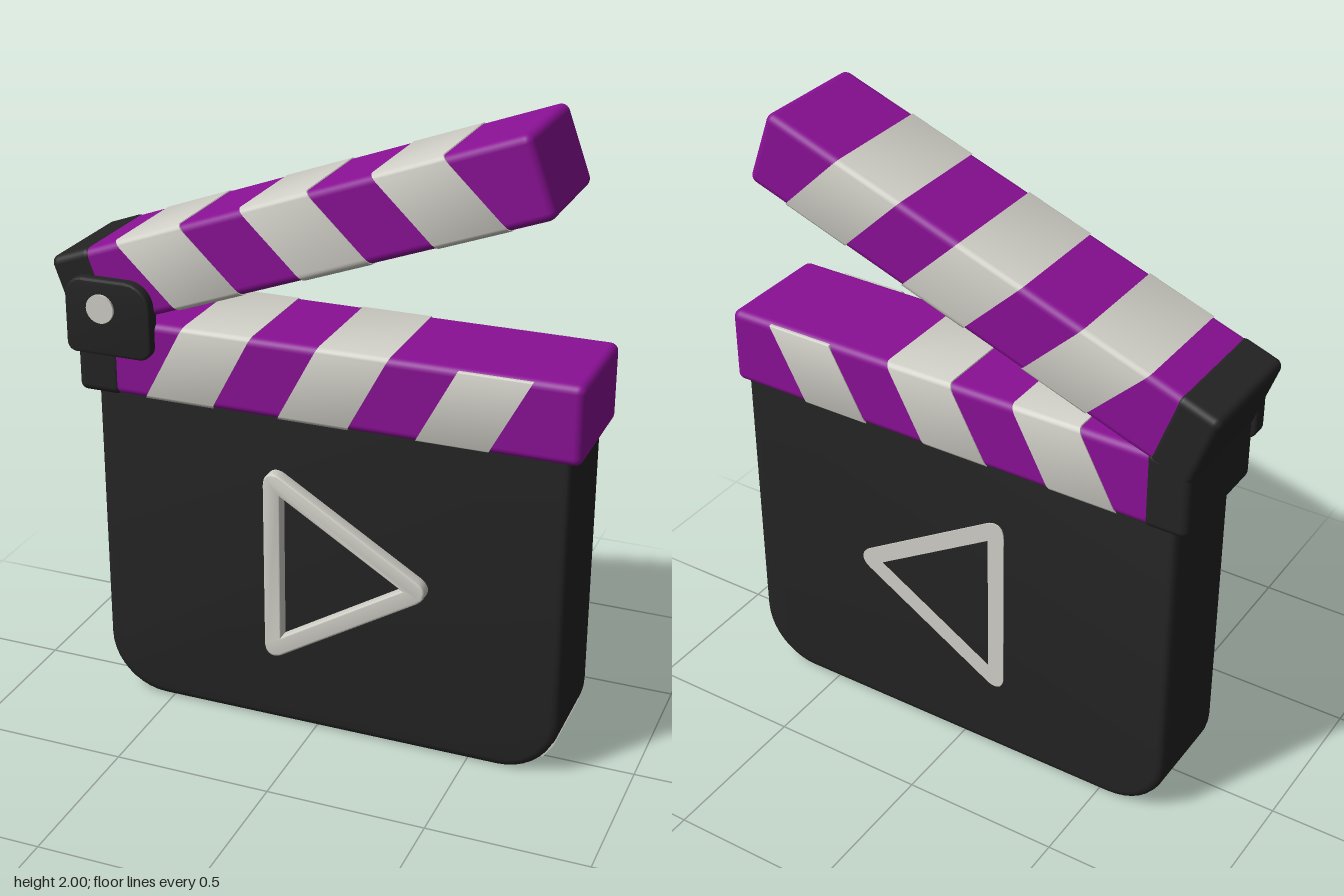
import * as THREE from 'three';
import { toCreasedNormals } from 'three/addons/utils/BufferGeometryUtils.js';
import { RoundedBoxGeometry } from 'three/addons/geometries/RoundedBoxGeometry.js';

const mat = (name, color) => {
  const m = new THREE.MeshStandardMaterial({ color });
  m.name = name;
  return m;
};

// Polygon whose corners are cut by the given radii and curved
function roundedPoly(points, radii) {
  const s = new THREE.Shape();
  const n = points.length;
  points.forEach(([x, y], i) => {
    const p = new THREE.Vector2(x, y);
    const r = radii[i];
    const toward = (q) => p.clone().add(new THREE.Vector2(...q).sub(p).setLength(r));
    const a = toward(points[(i + n - 1) % n]);
    const b = toward(points[(i + 1) % n]);
    if (i === 0) s.moveTo(a.x, a.y);
    else s.lineTo(a.x, a.y);
    if (r > 0) {
      // cubic approximation of a round corner
      const c1 = a.clone().lerp(p, 0.55), c2 = b.clone().lerp(p, 0.55);
      s.bezierCurveTo(c1.x, c1.y, c2.x, c2.y, b.x, b.y);
    }
  });
  s.closePath();
  return s;
}

// Extrusion between two z planes with an inset bevel
function slab(shape, z0, z1, bevel = 0) {
  const g = new THREE.ExtrudeGeometry(shape, {
    depth: z1 - z0 - 2 * bevel, curveSegments: 10,
    bevelEnabled: bevel > 0, bevelSize: bevel, bevelThickness: bevel,
    bevelOffset: -bevel, bevelSegments: 3,
  });
  g.translate(0, 0, z0 + bevel);
  return toCreasedNormals(g, 0.6);
}

// Rounded rectangular band along x, sheared so that it slants with y
function band(center, width, h, d, shear, r) {
  const a = d / 2, b = h / 2;
  const s = roundedPoly([[-a, -b], [a, -b], [a, b], [-a, b]], [r, r, r, r]);
  const g = new THREE.ExtrudeGeometry(s, { depth: width, bevelEnabled: false, curveSegments: 5 });
  g.translate(0, 0, -width / 2);
  g.rotateY(Math.PI / 2);
  const p = g.attributes.position;
  for (let i = 0; i < p.count; i++) p.setX(i, p.getX(i) + center + shear * p.getY(i));
  g.computeVertexNormals();
  return toCreasedNormals(g, 0.6);
}

export function createModel() {
  const purple = mat('purple', 0x8a1095);
  const white = mat('off white', 0xd0cfc7);
  const black = mat('charcoal', 0x242424);
  const model = new THREE.Group();
  model.name = 'clapperboard';

  const add = (parent, name, geometry, material, x = 0, y = 0, z = 0) => {
    const m = new THREE.Mesh(geometry, material);
    m.name = name;
    m.position.set(x, y, z);
    parent.add(m);
    return m;
  };

  // Slate body with rounded lower corners
  const body = roundedPoly(
    [[-0.72, 0], [0.785, 0], [0.785, 1.1], [-0.72, 1.1]], [0.19, 0.19, 0, 0]);
  add(model, 'slateBody', slab(body, -0.21, 0.115, 0.025), black);

  // Pale strip on the lower corner
  const strip = add(model, 'cornerStrip', new THREE.BoxGeometry(0.008, 0.06, 0.29), white,
    0.595 + 0.187 * Math.cos(0.59), 0.19 - 0.187 * Math.sin(0.59), -0.045);
  strip.rotation.z = -0.59;

  // Triangular frame: raised on the front, flush on the back
  const triangle = roundedPoly([[-0.155, 0.225], [0.4, 0.565], [-0.155, 0.905]], [0.07, 0.07, 0.07]);
  triangle.holes.push(roundedPoly([[-0.1, 0.323], [-0.1, 0.807], [0.295, 0.565]], [0, 0, 0]));
  add(model, 'frontTriangle', slab(triangle, 0.11, 0.155, 0.006), white);
  add(model, 'backTriangle', slab(triangle, -0.214, -0.207), white);

  // Clap sticks
  const H = 0.245, D = 0.385, R = 0.025, G = 0.006;

  function stick(name, length, capLength, stripeStart, pitch, shear, shortLast) {
    const g = new THREE.Group();
    g.name = name;
    add(g, name + 'Bar', new RoundedBoxGeometry(length, H, D, 3, R), purple);
    add(g, name + 'EndCap', new RoundedBoxGeometry(capLength, H + G, D + G, 3, R), black,
      -length / 2 + capLength / 2 - G / 2);
    for (let i = 0; i < 3; i++) {
      const flat = shortLast && i === 2; // this stripe stays off the top face
      add(g, name + 'Stripe', band(stripeStart + i * pitch + 0.11, 0.22,
        flat ? H - 0.012 : H + G, D + G, shear, flat ? 0.006 : R), white);
    }
    model.add(g);
    return g;
  }

  const lower = stick('lowerStick', 1.575, 0.145, -0.502, 0.43, 0.53, true);
  lower.position.set(0.037, 1.188, -0.022);

  const upper = stick('upperStick', 1.56, 0.145, -0.486, 0.425, -0.49, false);
  upper.position.set(-0.055, 1.624, -0.022);
  upper.rotation.z = THREE.MathUtils.degToRad(20);

  // Hinge plate and its pin
  const plate = roundedPoly(
    [[-0.77, 1.2], [-0.49, 1.2], [-0.49, 1.44], [-0.77, 1.44]], [0.03, 0.04, 0.08, 0.06]);
  add(model, 'hingePlate', slab(plate, 0.15, 0.202, 0.008), black);
  const pin = add(model, 'hingePin', new THREE.CylinderGeometry(0.045, 0.045, 0.03, 28), white,
    -0.65, 1.35, 0.195);
  pin.rotation.x = Math.PI / 2;

  return model;
}
